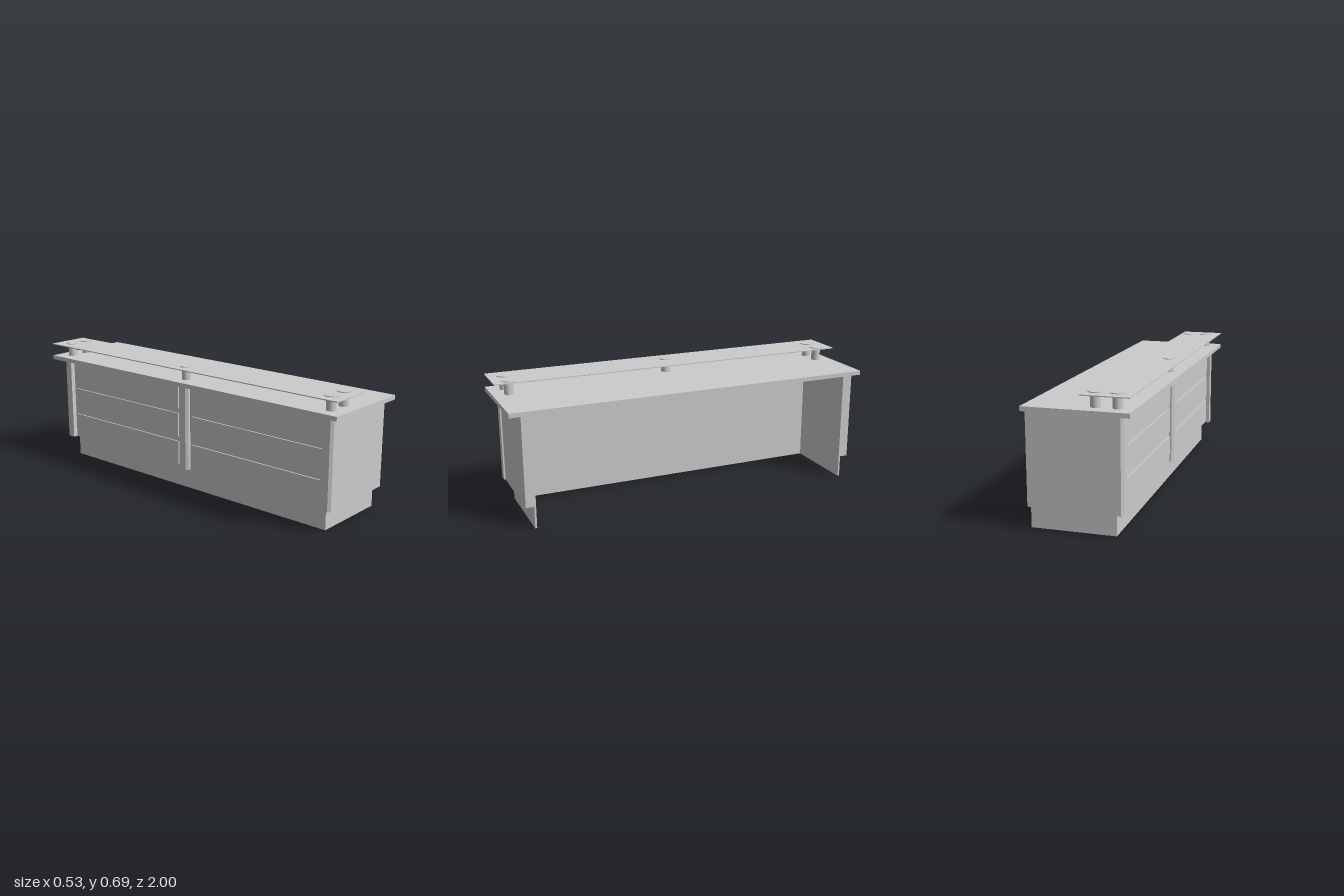
import * as THREE from 'three';

const grey = new THREE.MeshStandardMaterial({ color: 0xcccccc });

export function createModel() {
  const desk = new THREE.Group();
  desk.name = 'receptionDesk';

  const add = (name, geometry) => {
    const mesh = new THREE.Mesh(geometry, grey);
    mesh.name = name;
    desk.add(mesh);
    return mesh;
  };
  // Box given by its minimum and maximum on each axis
  const box = (name, x0, x1, y0, y1, z0, z1) => {
    const mesh = add(name, new THREE.BoxGeometry(x1 - x0, y1 - y0, z1 - z0));
    mesh.position.set((x0 + x1) / 2, (y0 + y1) / 2, (z0 + z1) / 2);
    return mesh;
  };
  const cylinder = (name, r, y0, y1, x, z) => {
    const mesh = add(name, new THREE.CylinderGeometry(r, r, y1 - y0, 32));
    mesh.position.set(x, (y0 + y1) / 2, z);
  };
  // Upright post from an outline of [x, z] corners
  const post = (name, outline) => {
    const shape = new THREE.Shape(outline.map(([x, z]) => new THREE.Vector2(x, -z)));
    const geometry = new THREE.ExtrudeGeometry(shape, { depth: top - step, bevelEnabled: false });
    geometry.rotateX(-Math.PI / 2);
    add(name, geometry).position.y = step;
  };

  const step = 0.118, top = 0.592, back = 0.26;

  // Worktop and the plain inner shell, open towards +x
  box('worktop', -0.261, back, top, 0.615, -1, 1);
  box('frontWall', -0.167, -0.155, 0, top, -0.9, 0.9);
  for (const s of [-1, 1]) {
    const z = [0.89 * s, 0.9 * s].sort((a, b) => a - b);
    box('endWall', -0.167, back, 0, top, z[0], z[1]);
    const c = [0.9 * s, 0.943 * s].sort((a, b) => a - b);
    box('endCladding', -0.18, back, step, top, c[0], c[1]);
    // Chamfered corner post
    post('cornerPost', [
      [-0.16, 0.895], [-0.16, 0.951], [-0.203, 0.951], [-0.216, 0.938], [-0.216, 0.895],
    ].map(([x, z]) => [x, z * s]));
  }

  // Chamfered post between the two bays
  post('centrePost', [
    [-0.165, -0.034], [-0.203, -0.034], [-0.216, -0.021],
    [-0.216, 0.021], [-0.203, 0.034], [-0.165, 0.034],
  ]);

  // Three raised boards in each bay of the public side
  box('bayBacking', -0.19, -0.166, step, top, -0.9, 0.9);
  const pitch = (top - step) / 3;
  for (const s of [-1, 1]) {
    for (let i = 0; i < 3; i++) {
      const y = step + pitch * (i + 0.5);
      const z = 0.465 * s;
      box('bayBoard', -0.198, -0.188, y - 0.066, y + 0.066, z - 0.418, z + 0.418);
    }
  }

  // Raised transaction shelf on round stand-offs
  box('shelf', -0.261, -0.026, 0.681, 0.686, -1, 1);
  const standoffs = [[-0.18, 0]];
  for (const z of [-0.915, 0.915]) standoffs.push([-0.18, z], [-0.075, z]);
  for (const [x, z] of standoffs) {
    cylinder('standoff', 0.0245, 0.614, 0.683, x, z);
    cylinder('standoffCap', 0.036, 0.685, 0.69, x, z);
  }

  // The whole desk sits very slightly turned
  desk.rotation.y = -0.0035;
  const model = new THREE.Group();
  model.add(desk);
  return model;
}
